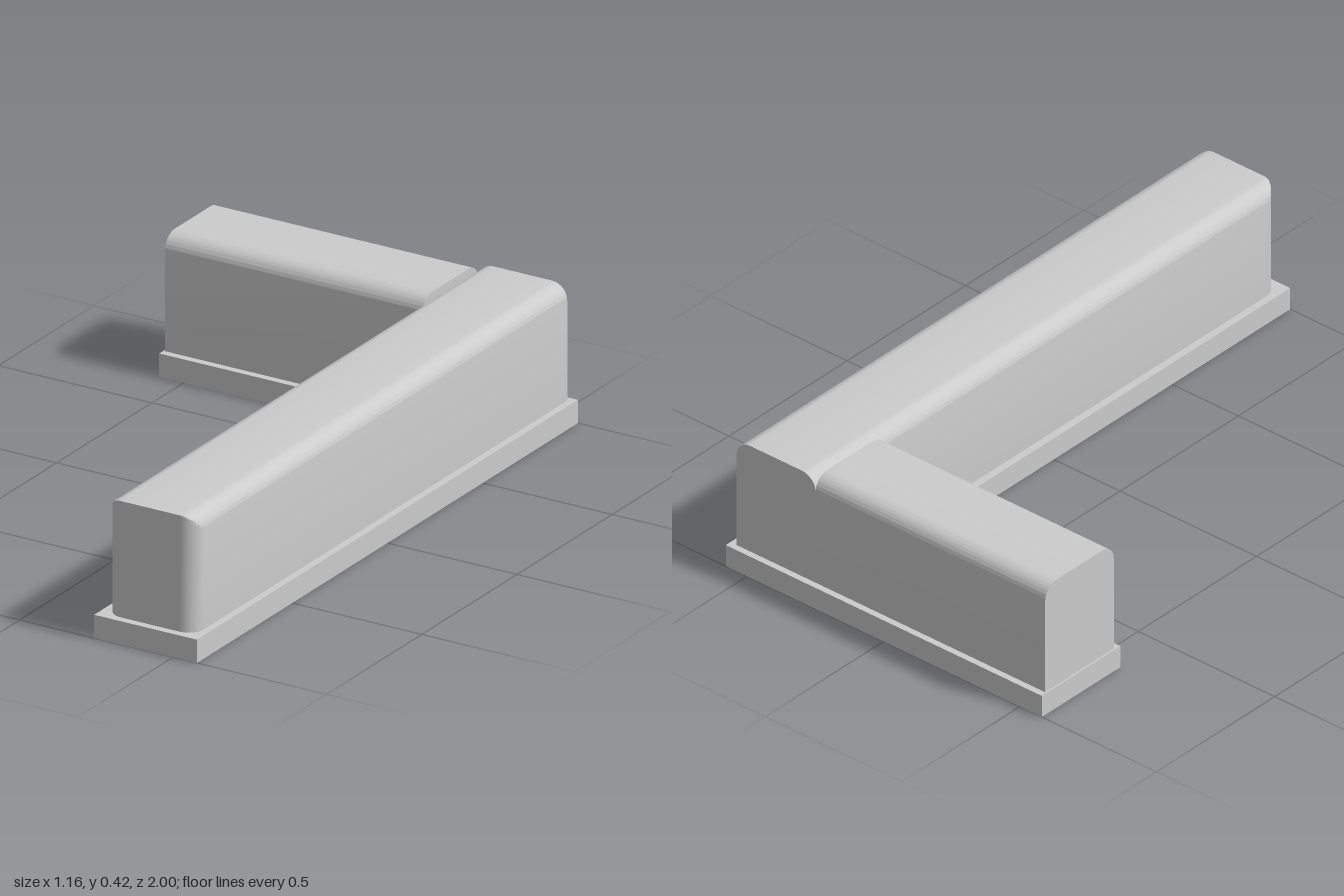
import * as THREE from 'three';
import { toCreasedNormals } from 'three/addons/utils/BufferGeometryUtils.js';

const material = new THREE.MeshStandardMaterial({ color: 0xcccccc });
const BASE_H = 0.07, TOP = 0.42, HALF = 0.145, R = 0.05, ARC_STEPS = 8;

// Block cross-section: square at the bottom, rounded along both top edges
function blockProfile() {
  const s = new THREE.Shape();
  s.moveTo(-HALF, BASE_H);
  s.lineTo(HALF, BASE_H);
  s.lineTo(HALF, TOP - R);
  s.absarc(HALF - R, TOP - R, R, 0, Math.PI / 2, false);
  s.lineTo(-HALF + R, TOP);
  s.absarc(-HALF + R, TOP - R, R, Math.PI / 2, Math.PI, false);
  s.closePath();
  return s;
}

// Extrudes the profile along z; roundFront also rounds the upright front corners
function blockGeometry(length, roundFront) {
  const steps = roundFront ? ARC_STEPS + 1 : 1;
  const geo = new THREE.ExtrudeGeometry(blockProfile(), {
    depth: length, steps, bevelEnabled: false, curveSegments: 10,
  });
  if (roundFront) {
    const p = geo.attributes.position;
    for (let i = 0; i < p.count; i++) {
      const k = Math.round((p.getZ(i) / length) * steps);
      if (k === 0) continue;
      const a = ((k - 1) / ARC_STEPS) * Math.PI / 2;
      const limit = HALF - R + R * Math.cos(a);
      p.setX(i, THREE.MathUtils.clamp(p.getX(i), -limit, limit));
      p.setZ(i, length - R + R * Math.sin(a));
    }
  }
  return toCreasedNormals(geo, 0.6);
}

function addMesh(group, name, geometry) {
  const mesh = new THREE.Mesh(geometry, material);
  mesh.name = name;
  group.add(mesh);
  return mesh;
}

function addBase(group, name, x0, x1, z0, z1) {
  addMesh(group, name, new THREE.BoxGeometry(x1 - x0, BASE_H, z1 - z0))
    .position.set((x0 + x1) / 2, BASE_H / 2, (z0 + z1) / 2);
}

export function createModel() {
  const group = new THREE.Group();
  group.name = 'cornerWall';

  // Plinth under each arm
  addBase(group, 'longBase', 0.243, 0.578, -1, 1);
  addBase(group, 'shortBase', -0.58, 0.243, -1, -0.668);

  // Long arm, running front to back
  addMesh(group, 'longBlock', blockGeometry(1.957, true)).position.set(0.411, 0, -0.98);

  // Short arm, running sideways from the back end
  const short = addMesh(group, 'shortBlock', blockGeometry(0.841, false));
  short.rotation.y = Math.PI / 2;
  short.position.set(-0.575, 0, -0.835);

  return group;
}
